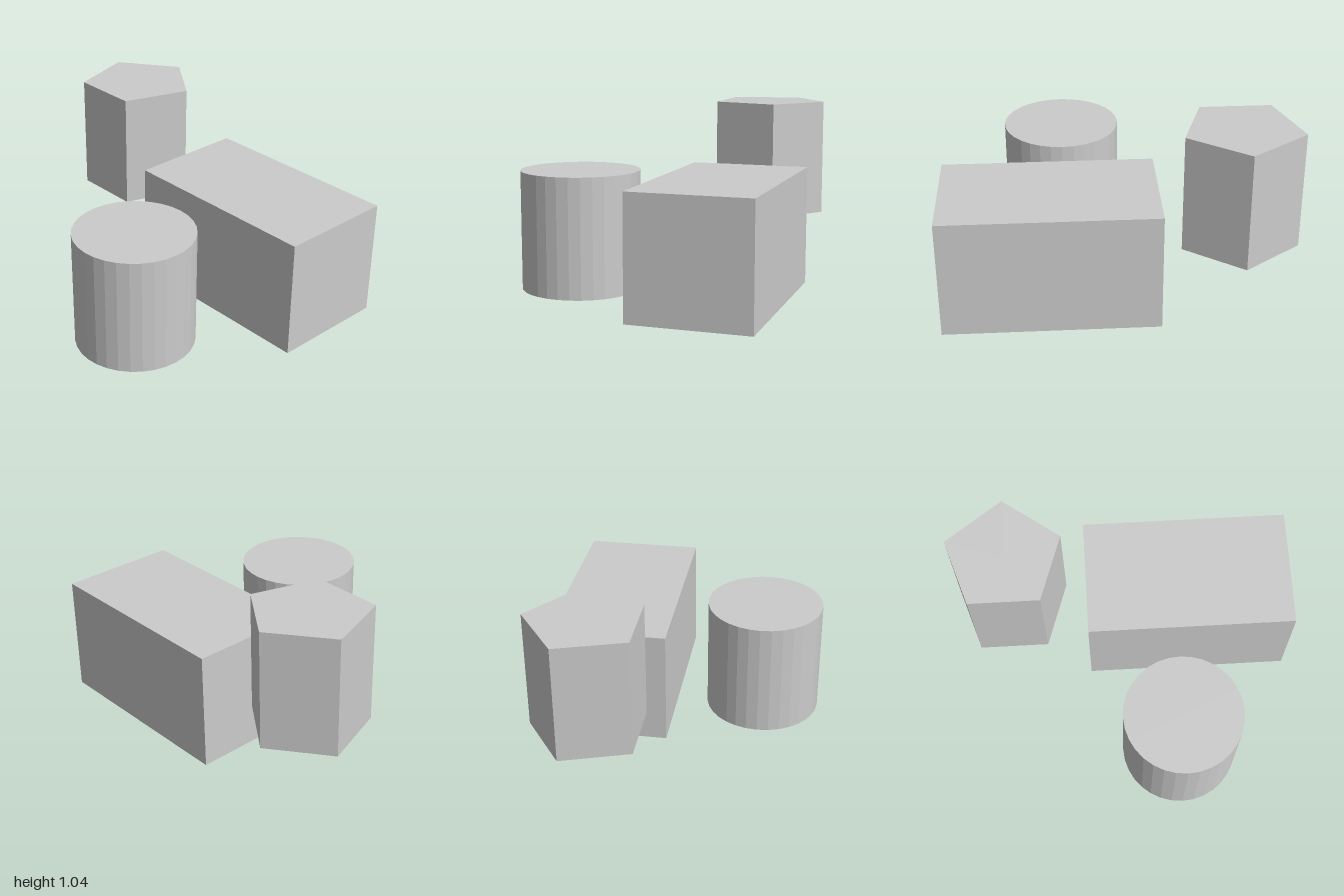
import * as THREE from 'three';

export function createModel() {
  const group = new THREE.Group();
  const material = new THREE.MeshStandardMaterial({ color: 0xcccccc, flatShading: true });
  const height = 0.692;
  const radius = 0.346;

  const add = (name, geometry, x, y, z) => {
    const mesh = new THREE.Mesh(geometry, material);
    mesh.name = name;
    mesh.position.set(x, y, z);
    group.add(mesh);
  };
  const prism = (sides, start = 0) =>
    new THREE.CylinderGeometry(radius, radius, height, sides, 1, false, start);

  // Long block resting on the ground
  add('block', new THREE.BoxGeometry(1.215, height, height), 0.392, height / 2, -0.437);

  // Round drum in front of the block
  add('drum', prism(32), 0.303, height / 2, 0.437);

  // Raised five-sided prism, one corner pointing back
  add('pentagonPrism', prism(5, Math.PI), -0.671, 0.697, -0.437);

  return group;
}
